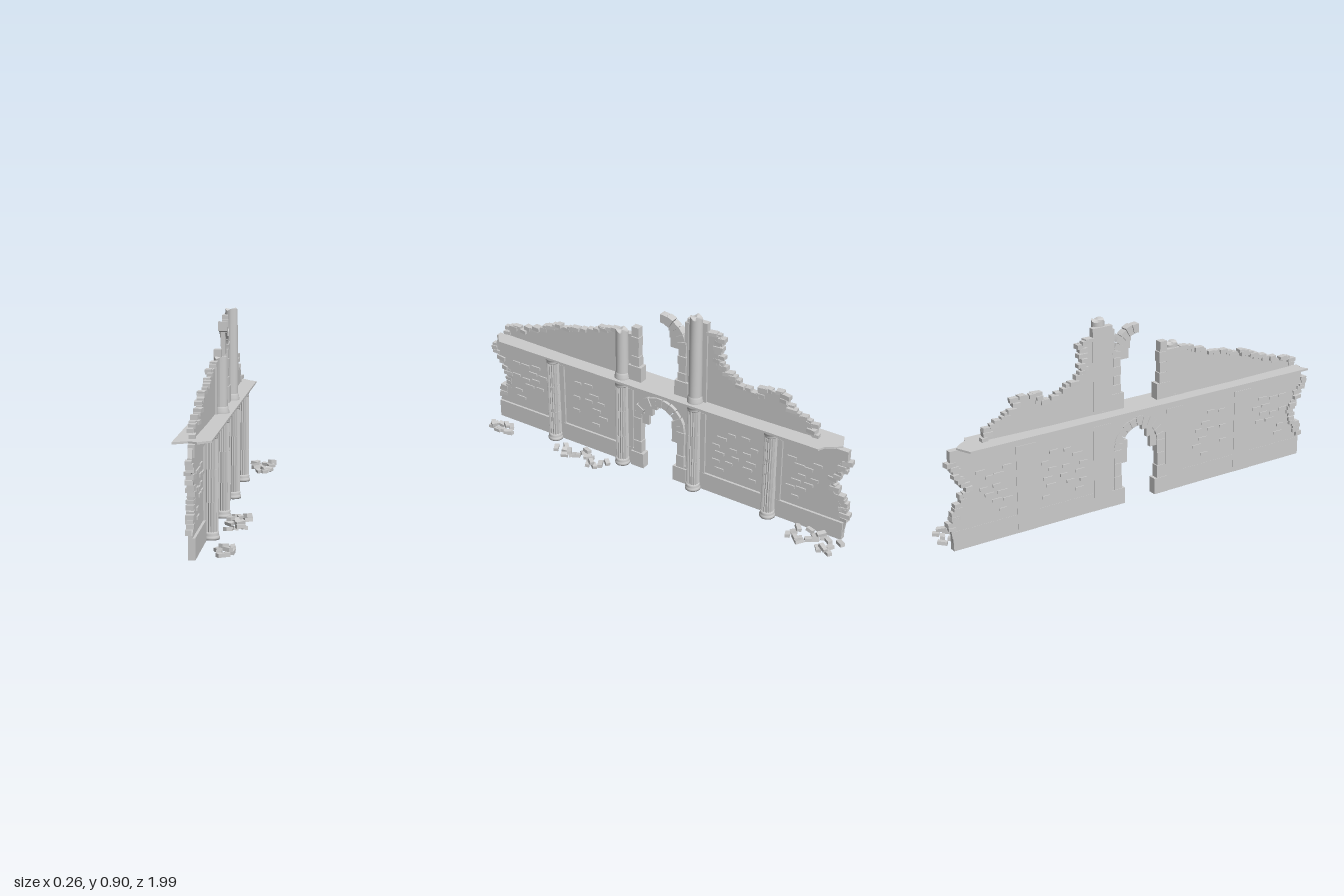
import * as THREE from 'three';

const stone = new THREE.MeshStandardMaterial({ color: 0xcccccc });
const facet = new THREE.MeshStandardMaterial({ color: 0xcccccc, flatShading: true });

let seed = 7;
const rnd = (a = 0, b = 1) => {
  seed = (seed * 16807) % 2147483647;
  return a + (b - a) * (seed / 2147483647);
};

function add(group, name, geo, mat = facet) {
  const m = new THREE.Mesh(geo, mat);
  m.name = name;
  group.add(m);
  return m;
}

// Extrudes a (z, y) outline across the wall, from x0 to x1
function slab(points, x0, x1) {
  const shape = new THREE.Shape(points.map(([z, y]) => new THREE.Vector2(z, y)));
  const geo = new THREE.ExtrudeGeometry(shape, { depth: x1 - x0, bevelEnabled: false });
  return geo.rotateY(-Math.PI / 2).translate(x1, 0, 0);
}

// Box given by its limits
function block(group, name, x0, x1, y0, y1, z0, z1) {
  const m = add(group, name, new THREE.BoxGeometry(x1 - x0, y1 - y0, Math.abs(z1 - z0)));
  m.position.set((x0 + x1) / 2, (y0 + y1) / 2, (z0 + z1) / 2);
  return m;
}

// Loose bricks laid along a broken (z, y) edge
function edgeBricks(group, pts) {
  for (let i = 0; i < pts.length - 1; i++) {
    const [z0, y0] = pts[i], [z1, y1] = pts[i + 1];
    const n = Math.max(1, Math.round(Math.hypot((z1 - z0) / 0.033, (y1 - y0) / 0.019)));
    for (let k = 0; k < n; k++) {
      const t = (k + 0.5) / n;
      const b = add(group, 'edgeBrick', new THREE.BoxGeometry(rnd(0.024, 0.034), rnd(0.016, 0.022), rnd(0.03, 0.05)));
      b.position.set(-0.06 + rnd(-0.006, 0.006), y0 + (y1 - y0) * t + rnd(-0.006, 0.006), z0 + (z1 - z0) * t + rnd(-0.012, 0.012));
      b.rotation.set(rnd(-0.08, 0.08), rnd(-0.15, 0.15), 0);
    }
  }
}

// Arch stones around (cz, cy); angle 0 points to +z
function archStones(group, cz, cy, a0, a1, count) {
  const step = (a1 - a0) / count;
  for (let i = 0; i < count; i++) {
    const s = a0 + i * step + 0.012, e = a0 + (i + 1) * step - 0.012;
    const out = 0.138 + (i % 2) * 0.004, pts = [];
    for (let k = 0; k <= 3; k++) pts.push([s + (e - s) * k / 3, out]);
    for (let k = 3; k >= 0; k--) pts.push([s + (e - s) * k / 3, 0.097]);
    add(group, 'archStone', slab(pts.map(([a, r]) => [cz + r * Math.cos(a), cy + r * Math.sin(a)]), -0.068, -0.033 + (i % 2) * 0.003));
  }
}

// Stacked stones at the side of an opening, standing on a wider foot
function jamb(group, z0, z1, base, top, count) {
  block(group, 'jambFoot', -0.069, -0.027, base, base + 0.078, z0 - 0.014, z1 + 0.014);
  const y0 = base + 0.078, h = (top - y0) / count;
  for (let i = 0; i < count; i++) {
    const d = (i % 2) * 0.003;
    block(group, 'jambStone', -0.068, -0.032 - d, y0 + i * h + 0.001, y0 + (i + 1) * h - 0.001, z0 + d, z1 - d);
  }
}

function lathe(profile) {
  return new THREE.LatheGeometry(profile.map(([r, y]) => new THREE.Vector2(r, y)), 24);
}

// Fluted drum: every other rim vertex is pulled inward
function flutedDrum(r0, r1, h) {
  const geo = new THREE.CylinderGeometry(r1, r0, h, 36, 1);
  const p = geo.attributes.position;
  for (let i = 0; i < p.count; i++) {
    const a = Math.round(Math.atan2(p.getZ(i), p.getX(i)) / (Math.PI / 18));
    if (a % 2 !== 0) p.setXYZ(i, p.getX(i) * 0.87, p.getY(i), p.getZ(i) * 0.87);
  }
  return geo;
}

function lowerColumn(z) {
  const g = new THREE.Group();
  g.name = 'lowerColumn';
  add(g, 'columnBase', lathe([[0, 0], [0.036, 0], [0.037, 0.008], [0.035, 0.015], [0.032, 0.018], [0.034, 0.025], [0.031, 0.034], [0, 0.036]]), stone);
  [[0.034, 0.16], [0.16, 0.3], [0.3, 0.432]].forEach(([a, b], i) => {
    const d = add(g, 'flutedDrum', flutedDrum(0.0315 - i * 0.0006, 0.031 - i * 0.0006, b - a));
    d.position.y = (a + b) / 2;
    d.rotation.y = i * 0.06;
  });
  add(g, 'capital', lathe([[0, 0.428], [0.029, 0.428], [0.031, 0.434], [0.029, 0.438], [0.034, 0.448], [0.037, 0.453], [0.037, 0.462], [0, 0.462]]), stone);
  g.position.set(-0.021, 0, z);
  return g;
}

function upperColumn(z, top) {
  const g = new THREE.Group();
  g.name = 'upperColumn';
  add(g, 'columnBase', lathe([[0.037, 0.465], [0.038, 0.478], [0.034, 0.485], [0.035, 0.492], [0.031, 0.5]]), stone);
  const shaft = new THREE.CylinderGeometry(0.029, 0.031, top - 0.49, 20, 3);
  const p = shaft.attributes.position;
  // Uneven broken top
  for (let i = 0; i < p.count; i++) {
    if (p.getY(i) > (top - 0.49) / 2 - 0.001) p.setY(i, p.getY(i) - 0.006 * (1 + Math.sin(p.getX(i) * 90 + p.getZ(i) * 130)));
  }
  shaft.computeVertexNormals();
  add(g, 'brokenShaft', shaft, stone).position.y = (top + 0.49) / 2;
  g.position.set(-0.03, 0, z);
  return g;
}

export function createModel() {
  const model = new THREE.Group();
  model.name = 'ruinedArcadeWall';
  const columns = [0.61, 0.212, -0.183, -0.58];

  // Broken edges as (z, y)
  const lowLeft = [[0.965, 0.1], [0.945, 0.14], [0.915, 0.19], [0.895, 0.235], [0.925, 0.28], [0.945, 0.32], [0.975, 0.36], [0.975, 0.41]];
  const lowRight = [[-0.955, 0.1], [-0.935, 0.15], [-0.91, 0.2], [-0.87, 0.25], [-0.87, 0.29], [-0.91, 0.34], [-0.93, 0.37], [-0.945, 0.41]];
  const upLeft = [[0.9, 0.475], [0.885, 0.515], [0.76, 0.54], [0.7, 0.565], [0.6, 0.605], [0.46, 0.63], [0.33, 0.67], [0.25, 0.695]];
  const upRight = [[-0.235, 0.82], [-0.3, 0.815], [-0.285, 0.75], [-0.285, 0.69], [-0.34, 0.64], [-0.42, 0.595], [-0.49, 0.59], [-0.53, 0.635], [-0.61, 0.63], [-0.63, 0.59], [-0.7, 0.55], [-0.755, 0.53], [-0.775, 0.475]];

  // Lower wall with the arched opening
  const opening = [];
  for (let i = 0; i <= 16; i++) {
    const a = Math.PI - (i / 16) * Math.PI;
    opening.push([0.015 + 0.11 * Math.cos(a), 0.27 + 0.11 * Math.sin(a)]);
  }
  add(model, 'lowerWall', slab([[0.125, 0], [0.965, 0], ...lowLeft, [0.955, 0.462], [-0.9, 0.462],
    ...lowRight.slice().reverse(), [-0.94, 0], [-0.095, 0], ...opening], -0.065, -0.047));
  add(model, 'upperLeftWall', slab([[0.17, 0.465], ...upLeft, [0.17, 0.695]], -0.065, -0.05));
  add(model, 'upperRightWall', slab([[-0.14, 0.465], [-0.14, 0.83], ...upRight], -0.065, -0.05));
  [lowLeft, lowRight, upLeft, upRight].forEach((e) => edgeBricks(model, e));

  // Plinths and the frieze under the ledge
  block(model, 'plinth', -0.066, -0.036, 0, 0.09, 0.13, 0.965);
  block(model, 'plinth', -0.066, -0.036, 0, 0.09, -0.945, -0.1);
  block(model, 'frieze', -0.066, -0.038, 0.41, 0.462, -0.945, 0.96);

  // Ledge with broken ends, drawn in plan (x, -z)
  const plan = [[-0.13, 0.957], [-0.07, 0.925], [-0.03, 0.945], [0.022, 0.9], [0.022, -0.83], [-0.01, -0.845], [-0.03, -0.88], [-0.06, -0.91], [-0.13, -0.88]];
  const ledge = new THREE.ExtrudeGeometry(new THREE.Shape(plan.map(([x, z]) => new THREE.Vector2(x, -z))), { depth: 0.009, bevelEnabled: false });
  add(model, 'ledge', ledge.rotateX(-Math.PI / 2).translate(0, 0.461, 0));

  // Columns and the pilasters behind them
  columns.forEach((z) => {
    model.add(lowerColumn(z));
    for (let i = 0; i < 3; i++) block(model, 'pilaster', -0.0675, -0.037, i * 0.137, (i + 1) * 0.137, z - 0.05, z + 0.05);
  });
  model.add(upperColumn(columns[1], 0.722), upperColumn(columns[2], 0.9));
  block(model, 'upperPilaster', -0.0675, -0.04, 0.465, 0.7, 0.16, 0.26);
  block(model, 'upperPilaster', -0.0675, -0.04, 0.465, 0.87, -0.233, -0.13);

  // Lower arch, upper jambs and the surviving piece of the upper arch
  jamb(model, 0.112, 0.155, 0, 0.27, 3);
  jamb(model, -0.125, -0.082, 0, 0.27, 3);
  archStones(model, 0.015, 0.27, 0, Math.PI, 11);
  jamb(model, 0.122, 0.165, 0.468, 0.745, 4);
  jamb(model, -0.13, -0.087, 0.468, 0.715, 4);
  archStones(model, 0.01, 0.715, Math.PI * 0.5, Math.PI, 6);
  block(model, 'jambTop', -0.066, -0.036, 0.715, 0.85, -0.14, -0.12);

  // Masonry remnants inside the arches: z0, z1, y0, y1
  [[0.075, 0.115, 0.245, 0.3], [0.055, 0.1, 0.3, 0.345], [0.03, 0.08, 0.34, 0.37], [-0.085, -0.052, 0.2, 0.27], [-0.085, -0.05, 0.27, 0.31],
    [-0.09, -0.042, 0.7, 0.745], [-0.09, -0.036, 0.745, 0.785], [-0.08, -0.03, 0.78, 0.81]]
    .forEach(([z0, z1, y0, y1]) => block(model, 'archRemnant', -0.062, -0.042, y0, y1, z0, z1));

  // Exposed bricks standing out on both faces of the panels
  [[0.69, 0.87], [0.29, 0.52], [-0.5, -0.26], [-0.84, -0.66]].forEach(([z0, z1]) => {
    for (let row = 0; row < 6; row++) {
      for (let c = 0; c < 3; c++) {
        if (rnd() < 0.28) continue;
        const z = z0 + (z1 - z0) * (c + 0.25 + (row % 2) * 0.4) / 3 + rnd(-0.012, 0.012);
        const y = 0.135 + row * 0.04 + rnd(-0.008, 0.008), w = rnd(0.018, 0.026);
        block(model, 'exposedBrick', -0.07, -0.041, y, y + 0.014, z - w, z + w);
      }
    }
  });

  // Fallen bricks: x0, x1, z0, z1, count
  [[0.005, 0.11, -0.97, -0.73, 18], [0.03, 0.105, 0.25, 0.53, 16], [0.025, 0.1, 0.8, 0.94, 10]].forEach(([x0, x1, z0, z1, n]) => {
    for (let i = 0; i < n; i++) {
      const b = add(model, 'fallenBrick', new THREE.BoxGeometry(0.022, 0.016, rnd(0.03, 0.045)));
      b.position.set(rnd(x0, x1), i % 4 === 3 ? 0.034 : 0.017, z0 + (z1 - z0) * (i + 0.5) / n);
      b.rotation.set(rnd(-0.2, 0.2), rnd(-1.2, 1.2), rnd(-0.2, 0.2));
    }
  });
  return model;
}
